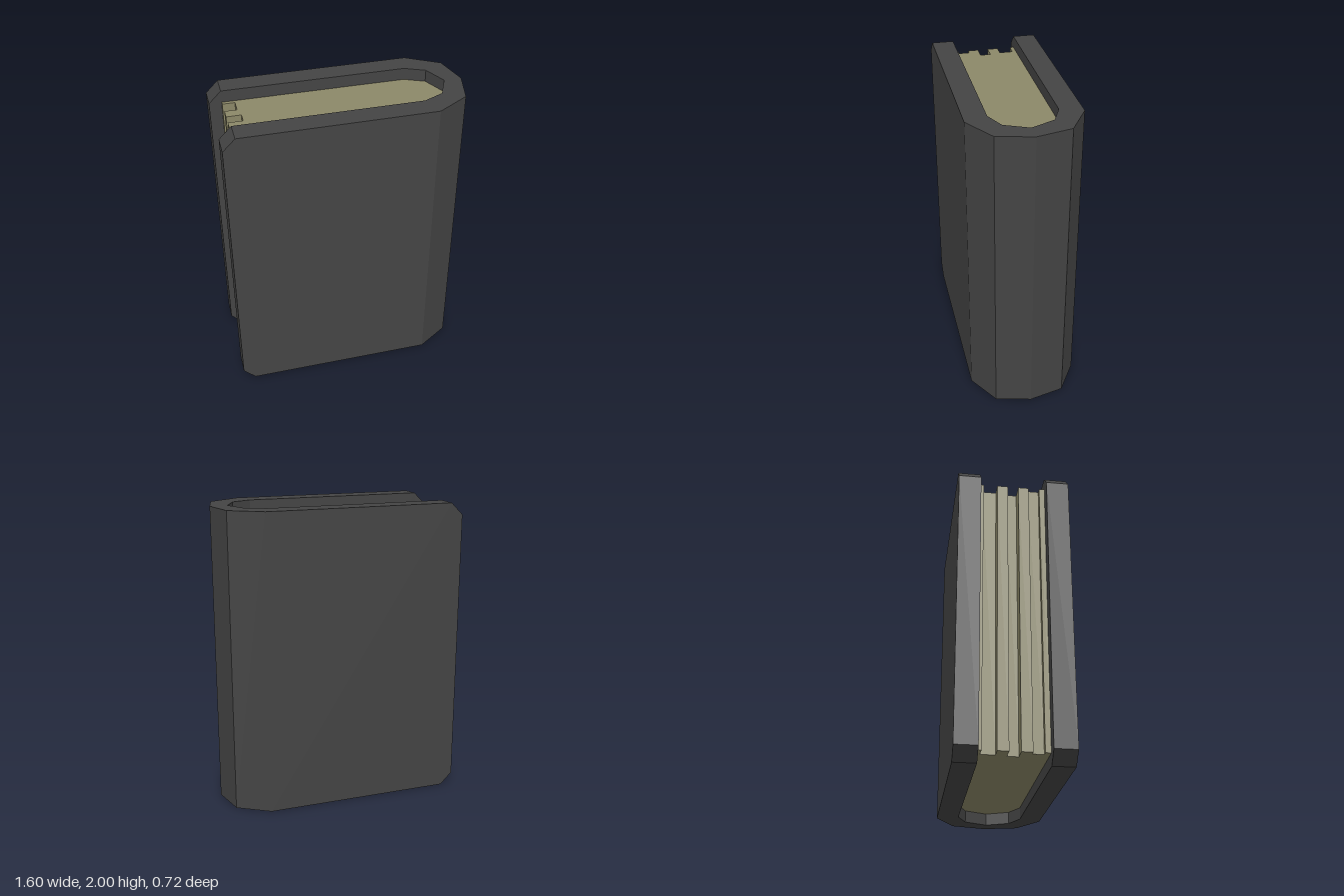
import * as THREE from 'three';

const HEIGHT = 2;
const INSET = 0.08;

// Stations of one half of the cover wall: outer x, outer z, inner x, inner z, corner cut
const HALF = [
  [-0.8, 0.36, -0.8, 0.215, INSET],
  [-0.72, 0.36, -0.72, 0.215, 0],
  [0.53, 0.36, 0.48, 0.215, 0],
  [0.74, 0.23, 0.61, 0.155, 0],
];
const SPINE = [0.795, 0, 0.68, 0, 0];

// Wall of the cover: rectangular rings joined from one fore edge round the spine to the other
function coverGeometry() {
  const mirrored = HALF.map(([ox, oz, ix, iz, cut]) => [ox, -oz, ix, -iz, cut]).reverse();
  const rings = [...HALF, SPINE, ...mirrored].map(([ox, oz, ix, iz, cut]) => [
    [ox, cut, oz], [ox, HEIGHT - cut, oz], [ix, HEIGHT - cut, iz], [ix, cut, iz],
  ]);
  const positions = [];
  const quad = (a, b, c, d) => positions.push(...a, ...b, ...c, ...a, ...c, ...d);
  for (let i = 0; i < rings.length - 1; i++) {
    const a = rings[i], b = rings[i + 1];
    for (let k = 0; k < 4; k++) {
      const n = (k + 1) % 4;
      quad(a[k], b[k], b[n], a[n]);
    }
  }
  quad(...rings[0]);
  quad(...[...rings[rings.length - 1]].reverse());
  const geometry = new THREE.BufferGeometry();
  geometry.setAttribute('position', new THREE.Float32BufferAttribute(positions, 3));
  geometry.computeVertexNormals();
  return geometry;
}

// Page block: rounded at the spine, with uneven grooves along the fore edge
function pagesGeometry() {
  const edge = -0.72;
  const grooves = [[-0.19, -0.10, -0.64], [-0.03, 0.04, -0.625], [0.11, 0.18, -0.685]];
  const outline = [
    [edge, 0.215], [0.48, 0.215], [0.61, 0.155], [0.68, 0],
    [0.61, -0.155], [0.48, -0.215], [edge, -0.215],
  ];
  for (const [z0, z1, x] of grooves) outline.push([edge, z0], [x, z0], [x, z1], [edge, z1]);
  const shape = new THREE.Shape(outline.map(([x, z]) => new THREE.Vector2(x, z)));
  const geometry = new THREE.ExtrudeGeometry(shape, { depth: HEIGHT - 2 * INSET, bevelEnabled: false });
  geometry.rotateX(Math.PI / 2);
  geometry.translate(0, HEIGHT - INSET, 0);
  return geometry;
}

export function createModel() {
  const book = new THREE.Group();
  book.name = 'book';
  const add = (name, geometry, color) => {
    const mesh = new THREE.Mesh(geometry, new THREE.MeshStandardMaterial({ color, flatShading: true }));
    mesh.name = name;
    book.add(mesh);
  };
  add('cover', coverGeometry(), 0x444444);
  add('pages', pagesGeometry(), 0x8c8868);
  return book;
}
